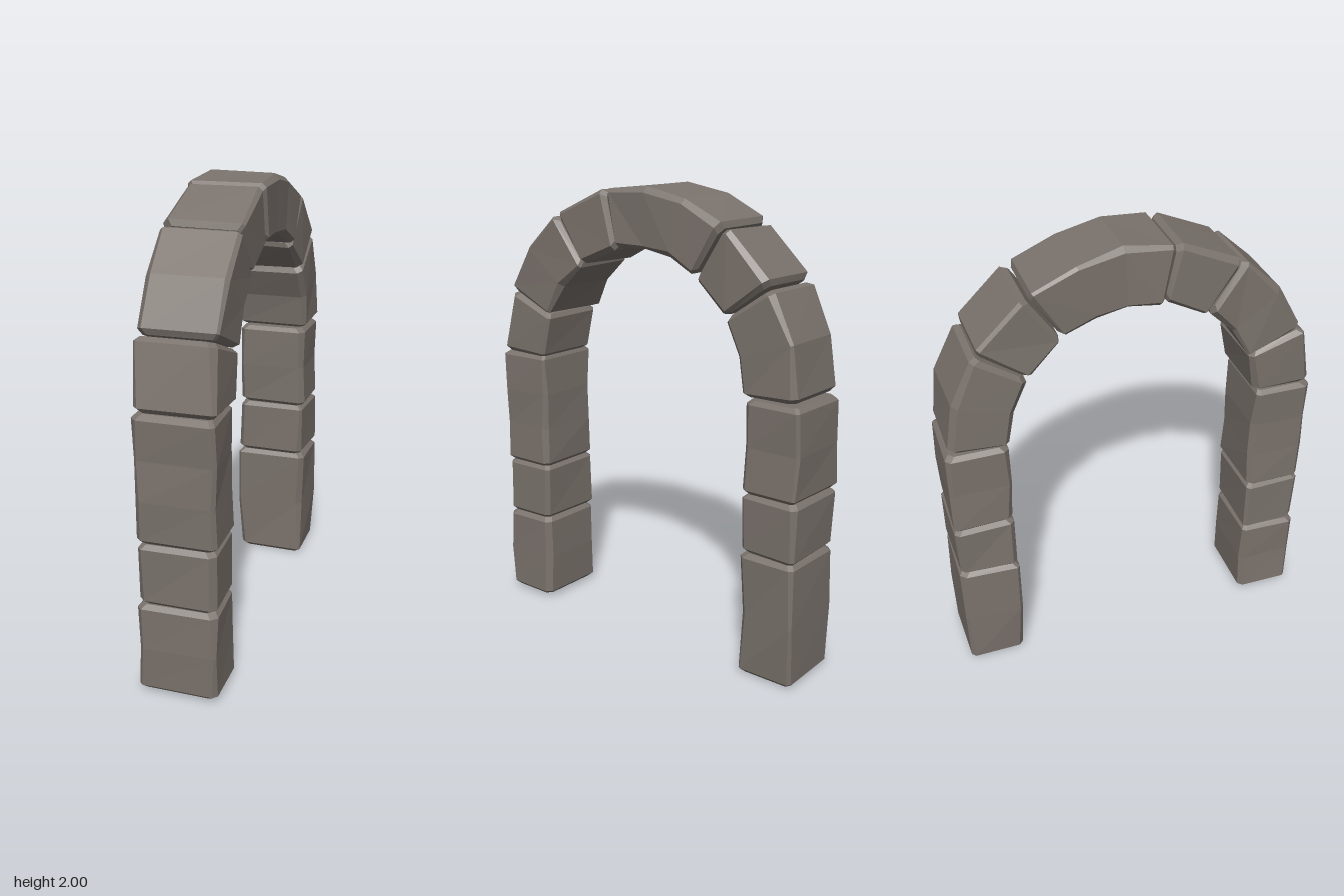
import * as THREE from 'three';

const LEG = 1.2, R = 0.673, ARC = Math.PI * R;
const HALF_W = 0.162, HALF_T = 0.128, BEVEL = 0.018;

// small seeded random, -1..1
let seed = 7;
const rnd = () => {
  seed = (seed * 16807) % 2147483647;
  return (seed / 2147483647) * 2 - 1;
};

// distance along the arch: up the +z leg, over the top, down the -z leg
const up = (y) => y;
const arc = (deg) => LEG + (deg * Math.PI / 180) * R;
const down = (y) => LEG + ARC + (LEG - y);

// centre point and outward direction at distance s
function frame(s) {
  if (s < LEG) return { z: 0.682, y: s, nz: 1, ny: 0 };
  if (s > LEG + ARC) return { z: -0.68, y: 2 * LEG + ARC - s, nz: -1, ny: 0 };
  const a = (s - LEG) / R;
  return { z: R * Math.cos(a), y: LEG + R * Math.sin(a), nz: Math.cos(a), ny: Math.sin(a) };
}

// eight-point ring: a rectangle with cut, slightly uneven corners
function ring(s, corners, inset) {
  const f = frame(s), pts = [];
  const signs = [[1, -1], [1, 1], [-1, 1], [-1, -1]]; // [outward, x]
  signs.forEach(([sn, sx], i) => {
    const c = corners[i];
    const n = sn * (HALF_T + c.dn - inset), x = sx * (HALF_W + c.dx - inset);
    const first = [n - sn * c.cut, x], second = [n, x - sx * c.cut];
    const pair = sn * sx < 0 ? [first, second] : [second, first];
    for (const [pn, px] of pair) pts.push([px - 0.002, f.y + f.ny * pn, f.z + f.nz * pn]);
  });
  return pts;
}

// one stone: rings along the path, bevelled and capped at both ends
function stone(s0, s1, segs, mat) {
  const corner = () => ({ dn: rnd() * 0.006, dx: rnd() * 0.009, cut: 0.018 + rnd() * 0.009 });
  const rings = [];
  for (let i = 0; i <= segs; i++) {
    const corners = [0, 1, 2, 3].map(corner);
    const a = s0 + BEVEL, b = s1 - BEVEL;
    if (i === 0) rings.push(ring(s0, corners, BEVEL));
    rings.push(ring(a + (b - a) * i / segs, corners, 0));
    if (i === segs) rings.push(ring(s1, corners, BEVEL));
  }
  const pos = [];
  const tri = (a, b, c) => pos.push(...a, ...b, ...c);
  for (let i = 0; i < rings.length - 1; i++) {
    for (let j = 0; j < 8; j++) {
      const k = (j + 1) % 8, p = rings[i], q = rings[i + 1];
      tri(p[j], p[k], q[k]);
      tri(p[j], q[k], q[j]);
    }
  }
  const first = rings[0], last = rings[rings.length - 1];
  for (let j = 1; j < 7; j++) {
    tri(first[0], first[j + 1], first[j]);
    tri(last[0], last[j], last[j + 1]);
  }
  const geo = new THREE.BufferGeometry();
  geo.setAttribute('position', new THREE.Float32BufferAttribute(pos, 3));
  geo.computeVertexNormals();
  return new THREE.Mesh(geo, mat);
}

export function createModel() {
  seed = 7;
  const mat = new THREE.MeshStandardMaterial({ color: 0x7a726c, flatShading: true });
  const parts = {
    frontPillar: [
      [up(0.015), up(0.41), 2], [up(0.412), up(0.675), 1], [up(0.675), up(1.21), 3],
    ],
    archRing: [
      [arc(1), arc(22), 1], [arc(22.5), arc(55.5), 2], [arc(56), arc(77.5), 1],
      [arc(78), arc(123), 3], [arc(124), arc(145), 1], [arc(146), arc(179), 2],
    ],
    backPillar: [
      [down(1.197), down(0.805), 2], [down(0.803), down(0.548), 1], [down(0.548), down(0), 2],
    ],
  };
  const model = new THREE.Group();
  model.name = 'stoneArch';
  for (const [name, stones] of Object.entries(parts)) {
    const group = new THREE.Group();
    group.name = name;
    stones.forEach(([s0, s1, segs], i) => {
      const mesh = stone(s0, s1, segs, mat);
      mesh.name = `${name}Stone${i + 1}`;
      group.add(mesh);
    });
    model.add(group);
  }
  return model;
}
